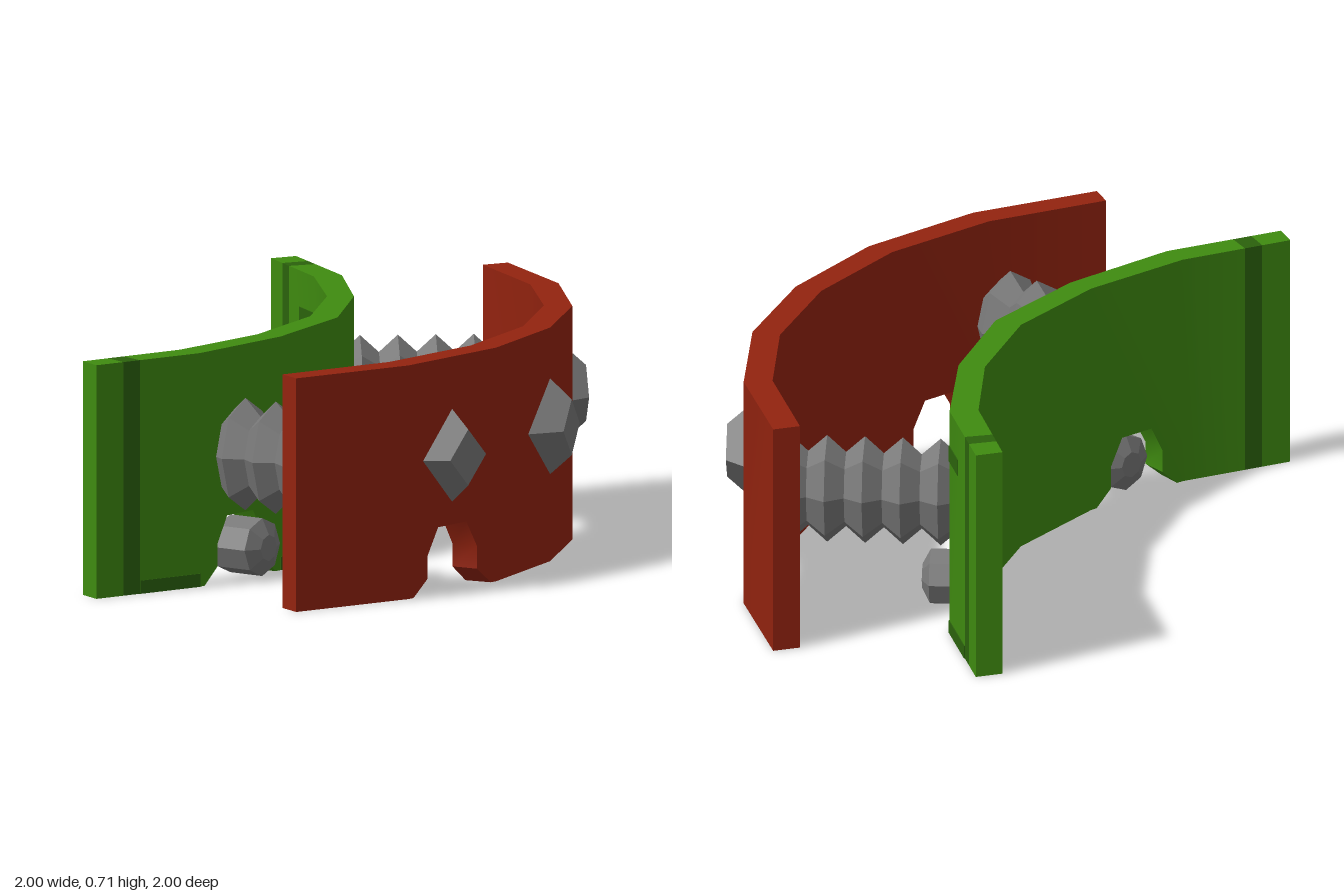
import * as THREE from 'three';
import { toCreasedNormals } from 'three/addons/utils/BufferGeometryUtils.js';

const mat = (name, color) => new THREE.MeshStandardMaterial({ name, color });
const H = 0.71;

// Plan outlines [x, z], from the left end of the arc to the right end
const redInner = [[-0.59, 0.91], [-0.2, 0.86], [0.16, 0.71], [0.47, 0.47], [0.71, 0.16], [0.86, -0.2], [0.91, -0.59]];
const redOuter = [[-0.59, 0.995], [-0.18, 0.945], [0.21, 0.78], [0.53, 0.53], [0.78, 0.21], [0.945, -0.18], [0.995, -0.59]];
const greenInner = [[-1, 0.41], [-0.64, 0.36], [-0.3, 0.22], [0, 0], [0.22, -0.3], [0.36, -0.64], [0.41, -1]];
const greenOuter = [[-1, 0.495], [-0.62, 0.445], [-0.26, 0.29], [0.06, 0.06], [0.29, -0.26], [0.445, -0.62], [0.495, -1]];

const NOTCH = [[0.06, 0], [0.22, 0.05], [0.22, 0.12], [0.34, 0.2], [0.66, 0.2], [0.78, 0.12], [0.78, 0.05], [0.94, 0]];

// Outline in (u along the segment, y), extruded through the thickness and bent onto the arc
function slab(inner, outer, seg, outline, t0 = 0, t1 = 1) {
  const shape = new THREE.Shape(outline.map(([u, y]) => new THREE.Vector2(u, y)));
  const geo = new THREE.ExtrudeGeometry(shape, { depth: 1, bevelEnabled: false });
  const p = geo.attributes.position;
  const mix = THREE.MathUtils.lerp;
  for (let i = 0; i < p.count; i++) {
    const u = p.getX(i), t = mix(t0, t1, p.getZ(i));
    const [x, z] = [0, 1].map(k => mix(
      mix(inner[seg][k], inner[seg + 1][k], u),
      mix(outer[seg][k], outer[seg + 1][k], u), t));
    p.setXYZ(i, x, p.getY(i), z);
  }
  geo.clearGroups();
  return geo;
}

const rect = (u0, u1, y0 = 0, y1 = H) => [[u0, y0], [u1, y0], [u1, y1], [u0, y1]];
const notched = [[0, 0], ...NOTCH, [1, 0], [1, H], [0, H]];

// Joins slabs into one surface, smooth around the arc and sharp at the edges
function joined(slabs) {
  const pos = slabs.flatMap(g => Array.from(g.attributes.position.array));
  const geo = new THREE.BufferGeometry();
  geo.setAttribute('position', new THREE.Float32BufferAttribute(pos, 3));
  geo.computeVertexNormals();
  return toCreasedNormals(geo, 0.6);
}

function faceted(geo) {
  const g = geo.index ? geo.toNonIndexed() : geo;
  g.computeVertexNormals();
  return g;
}

export function createModel() {
  const model = new THREE.Group();
  model.name = 'doubleBarrier';
  const red = mat('redPaint', 0x93230f);
  const green = mat('greenPaint', 0x3f8b10);
  const darkGreen = mat('wornGreen', 0x2b620c);
  const steel = mat('steel', 0x787878);

  const add = (name, geo, material, parent = model) => {
    const m = new THREE.Mesh(geo, material);
    m.name = name;
    parent.add(m);
    return m;
  };

  // Red front wall with two notches
  add('frontWall', joined([0, 1, 2, 3, 4, 5].map(i =>
    slab(redInner, redOuter, i, i === 1 || i === 4 ? notched : rect(0, 1)))), red);

  // Green rear wall, with a worn band near each end
  const G = (seg, outline, t0, t1) => slab(greenInner, greenOuter, seg, outline, t0, t1);
  add('rearWall', joined([
    G(0, rect(0, 0.26)), G(0, rect(0.42, 1)),
    G(1, notched), G(2, rect(0, 1)), G(3, rect(0, 1)), G(4, notched),
    G(5, rect(0, 0.58)), G(5, rect(0.74, 1)),
  ]), green);
  add('wornBands', joined([G(0, rect(0.26, 0.42)), G(5, rect(0.58, 0.74))]), darkGreen);

  // Thin scuffs on the rear wall
  const front = [0.97, 1.03], back = [-0.03, 0.03];
  add('wornScuffs', joined([
    G(5, rect(0, 0.33, 0.55, 0.6), ...front),
    G(5, rect(0, 0.33, 0.55, 0.6), ...back),
    ...[[0, 0.42, 1], [2, 0, 1], [3, 0, 1], [5, 0, 0.58]].map(([s, a, b]) => G(s, rect(a, b, 0, 0.04), ...front)),
  ]), darkGreen);

  // Diamond studs on the front wall
  const studGeo = faceted(new THREE.CylinderGeometry(0.085, 0.175, 0.1, 4).rotateX(Math.PI / 2).translate(0, 0, 0.05));
  [[0, 0.828, 0.39], [0.507, 0.507, Math.PI / 4], [0.828, 0, Math.PI / 2 - 0.39]].forEach(([x, z, a]) => {
    const stud = add('stud', studGeo, steel);
    stud.position.set(x, 0.41, z);
    stud.rotation.y = a;
  });

  // Ridged struts between the walls
  const L = 0.57, teeth = 5;
  const profile = [new THREE.Vector2(0, 0)];
  for (let i = 0; i <= teeth * 2; i++) {
    profile.push(new THREE.Vector2(i % 2 ? 0.118 : 0.082, (i / (teeth * 2)) * L));
  }
  profile.push(new THREE.Vector2(0, L));
  const strutGeo = faceted(new THREE.LatheGeometry(profile, 8).rotateX(Math.PI / 2).scale(1, -1.45, 1).scale(1, -1, 1));
  [[-0.47, 0.36, 0.43], [0.36, -0.47, Math.PI / 2 - 0.43]].forEach(([x, z, a]) => {
    const strut = add('ridgedStrut', strutGeo, steel);
    strut.position.set(x, 0.385, z);
    strut.rotation.y = a;
  });

  // Bolts sitting in the rear wall's notches
  const boltGeo = faceted(new THREE.LatheGeometry([[0, -0.085], [0.04, -0.085], [0.088, -0.06], [0.088, 0.06], [0.04, 0.085], [0, 0.085]]
    .map(([r, y]) => new THREE.Vector2(r, y)), 8).rotateX(Math.PI / 2));
  [[-0.42, 0.37, 0.42], [0.37, -0.42, Math.PI / 2 - 0.42]].forEach(([x, z, a]) => {
    const bolt = add('bolt', boltGeo, steel);
    bolt.position.set(x, 0.1, z);
    bolt.rotation.y = a;
  });

  return model;
}
